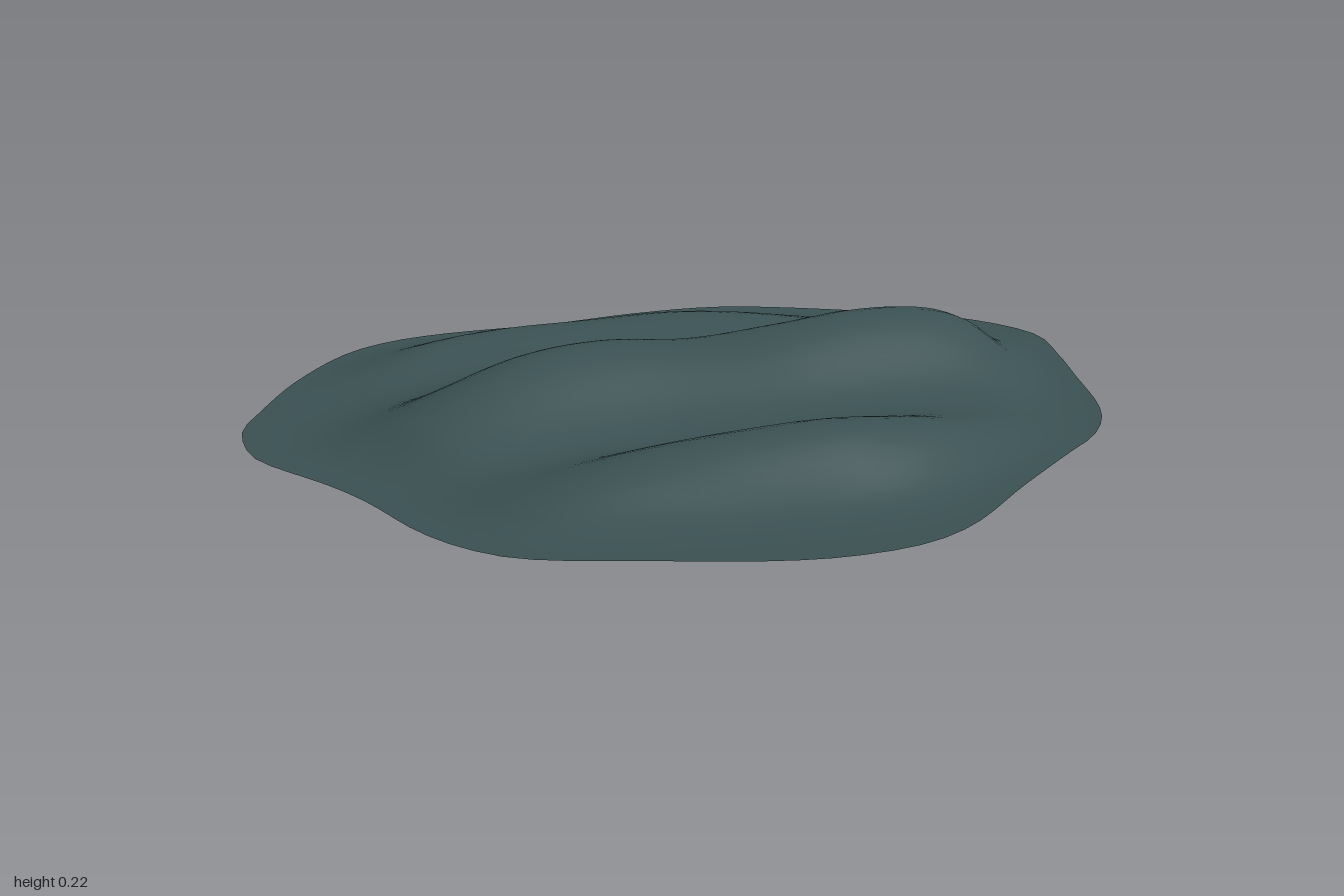
import * as THREE from 'three';

const RIM_Y = 0.045, SPOKES = 96, RINGS = 36;
const CENTRE = [-0.03, -0.03];

// Rim control points (x, z), counterclockwise seen from above
const RIM = [
  [1, -0.18], [0.915, -0.4], [0.695, -0.605], [0.43, -0.785], [0.2, -0.835], [-0.03, -0.847],
  [-0.295, -0.893], [-0.43, -0.893], [-0.56, -0.85], [-0.75, -0.685], [-0.905, -0.487], [-0.97, -0.39],
  [-1, -0.27], [-1, -0.18], [-0.92, 0.04], [-0.888, 0.16], [-0.855, 0.37], [-0.81, 0.49], [-0.745, 0.58],
  [-0.525, 0.715], [-0.3, 0.835], [-0.175, 0.872], [-0.04, 0.88], [0.085, 0.845], [0.31, 0.71],
  [0.515, 0.593], [0.62, 0.535], [0.705, 0.46], [0.77, 0.37], [0.87, 0.155], [0.94, 0],
];

// Ridges: height and crest z sampled at x = -1, -0.8 ... 1, with widths behind and ahead of the crest
const RIDGES = [
  { height: [0, 0.035, 0.1, 0.143, 0.15, 0.143, 0.163, 0.173, 0.15, 0.06, 0],
    crest: [-0.08, -0.08, -0.11, -0.15, -0.16, -0.1, -0.05, -0.04, -0.03, -0.05, -0.08], back: 0.145, front: 0.16 },
  { height: [0, 0.022, 0.055, 0.09, 0.11, 0.119, 0.09, 0.04, 0.012, 0, 0],
    crest: [0.4, 0.4, 0.4, 0.41, 0.44, 0.48, 0.48, 0.45, 0.43, 0.4, 0.4], back: 0.12, front: 0.115 },
  { height: [0, 0.015, 0.035, 0.05, 0.06, 0.062, 0.06, 0.045, 0.025, 0.008, 0],
    crest: [-0.7, -0.7, -0.7, -0.69, -0.66, -0.62, -0.59, -0.55, -0.51, -0.47, -0.45], back: 0.12, front: 0.1 },
];

// Smooth lookup in a list of samples over x = -1..1
function sample(list, x) {
  const t = THREE.MathUtils.clamp((x + 1) * 5, 0, 9.9999);
  const i = Math.floor(t), f = t - i;
  const at = (k) => list[THREE.MathUtils.clamp(k, 0, 10)];
  const [a, b, c, d] = [at(i - 1), at(i), at(i + 1), at(i + 2)];
  return b + 0.5 * f * (c - a + f * (2 * a - 5 * b + 4 * c - d + f * (3 * (b - c) + d - a)));
}

function surfaceHeight(x, z, r) {
  let h = 0;
  for (const ridge of RIDGES) {
    const dz = z - sample(ridge.crest, x);
    const w = dz < 0 ? ridge.back : ridge.front;
    h += Math.max(0, sample(ridge.height, x)) * Math.exp(-0.5 * (dz / w) ** 2);
  }
  // Fade to the flat rim
  return RIM_Y + h * (1 - THREE.MathUtils.smoothstep(r, 0.72, 1));
}

// Disc of rings from the centre to the rim, with a height rule
function disc(rim, rings, heightAt, faceDown) {
  const pos = [CENTRE[0], heightAt(CENTRE[0], CENTRE[1], 0), CENTRE[1]];
  const index = [];
  const tri = (a, b, c) => (faceDown ? index.push(a, c, b) : index.push(a, b, c));
  for (let j = 1; j <= rings; j++) {
    const r = j / rings;
    for (let i = 0; i < SPOKES; i++) {
      const x = CENTRE[0] + (rim[i].x - CENTRE[0]) * r;
      const z = CENTRE[1] + (rim[i].z - CENTRE[1]) * r;
      pos.push(x, heightAt(x, z, r), z);
      const n = (i + 1) % SPOKES;
      const outer = 1 + (j - 1) * SPOKES, inner = outer - SPOKES;
      if (j === 1) tri(0, outer + i, outer + n);
      else {
        tri(inner + i, outer + i, outer + n);
        tri(inner + i, outer + n, inner + n);
      }
    }
  }
  const geo = new THREE.BufferGeometry();
  geo.setAttribute('position', new THREE.Float32BufferAttribute(pos, 3));
  geo.setIndex(index);
  geo.computeVertexNormals();
  return geo;
}

export function createModel() {
  const group = new THREE.Group();
  group.name = 'ridgedMound';
  const material = new THREE.MeshStandardMaterial({ color: 0x3a5052 });
  material.name = 'dark teal';

  const curve = new THREE.CatmullRomCurve3(RIM.map(([x, z]) => new THREE.Vector3(x, 0, z)), true, 'centripetal');
  const rim = curve.getSpacedPoints(SPOKES);

  // Rippled upper surface
  const top = new THREE.Mesh(disc(rim, RINGS, surfaceHeight, false), material);
  top.name = 'rippledTop';

  // Shallow cone underneath
  const base = new THREE.Mesh(disc(rim, 1, (x, z, r) => RIM_Y * r, true), material);
  base.name = 'underside';

  group.add(top, base);
  return group;
}
